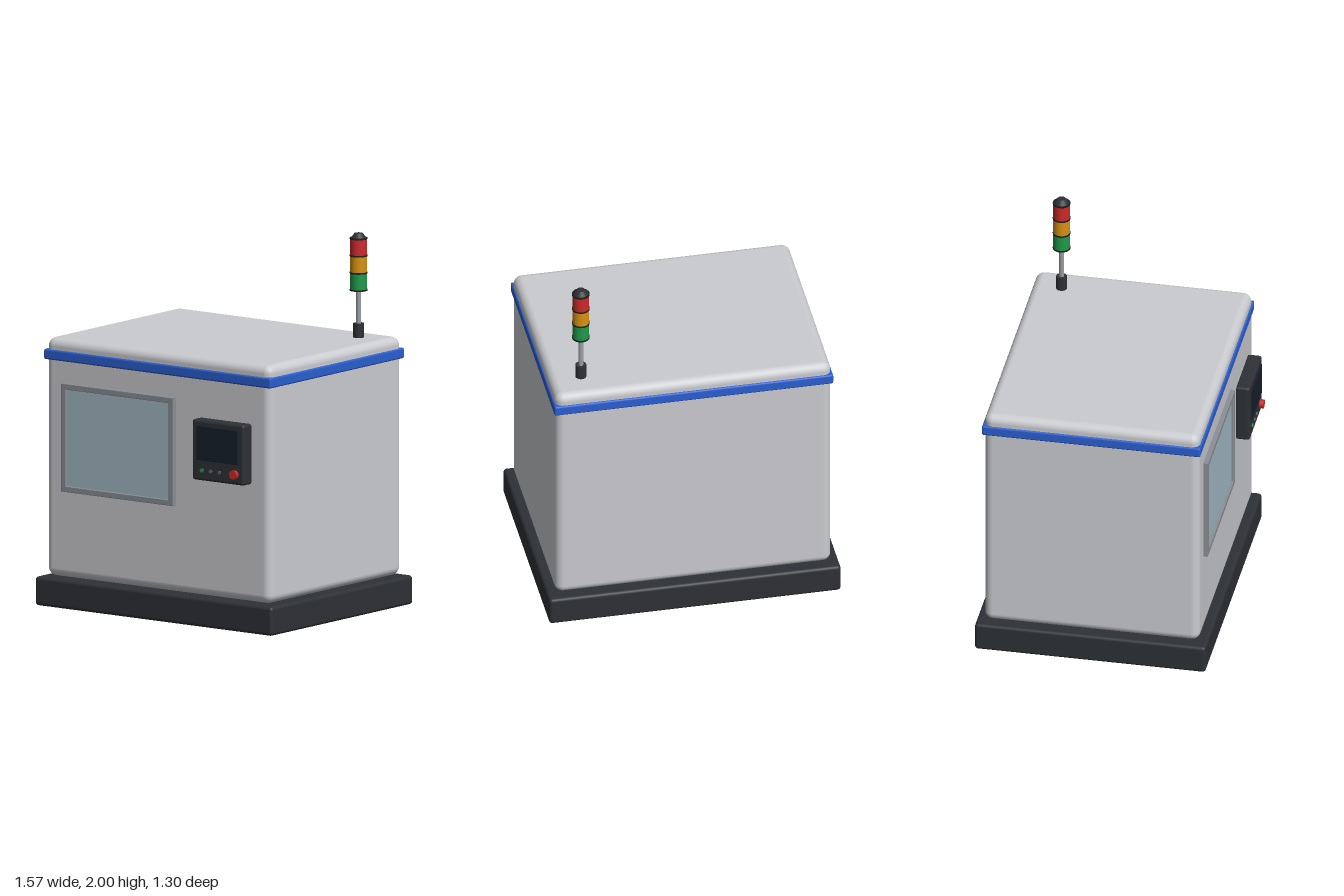
import * as THREE from 'three';
import { RoundedBoxGeometry } from 'three/addons/geometries/RoundedBoxGeometry.js';

const paint = (color) => new THREE.MeshStandardMaterial({ color });
const shell = paint(0xcbccd0), dark = paint(0x2e3135), black = paint(0x1c1e20);
const blue = paint(0x2b5fd0), steel = paint(0x8a9096), glass = paint(0xa3b9c6);
const screenMat = paint(0x16202b), red = paint(0xcc2a2a), amber = paint(0xd8920f), green = paint(0x1f9a4a);

export function createModel() {
  const model = new THREE.Group();

  const add = (parent, name, geometry, material, x, y, z) => {
    const mesh = new THREE.Mesh(geometry, material);
    mesh.name = name;
    mesh.position.set(x, y, z);
    parent.add(mesh);
    return mesh;
  };
  // rounded box given by its limits
  const block = (parent, name, material, [x0, x1], [y0, y1], [z0, z1], r) =>
    add(parent, name, new RoundedBoxGeometry(x1 - x0, y1 - y0, z1 - z0, 4, r), material,
      (x0 + x1) / 2, (y0 + y1) / 2, (z0 + z1) / 2);
  const group = (name) => {
    const g = new THREE.Group();
    g.name = name;
    model.add(g);
    return g;
  };

  // Cabinet
  block(model, 'base', dark, [-0.787, 0.787], [0, 0.155], [-0.647, 0.597], 0.018);
  block(model, 'cabinet', shell, [-0.745, 0.745], [0.16, 1.44], [-0.605, 0.555], 0.045);
  block(model, 'trimBand', blue, [-0.753, 0.753], [1.322, 1.378], [-0.615, 0.563], 0.01);

  // Viewing window: frame with an opening and a recessed pane
  const windowGroup = group('window');
  const rect = (shape, w, h) => shape.moveTo(-w / 2, -h / 2).lineTo(w / 2, -h / 2)
    .lineTo(w / 2, h / 2).lineTo(-w / 2, h / 2).closePath();
  const frame = rect(new THREE.Shape(), 0.74, 0.576);
  frame.holes.push(rect(new THREE.Path(), 0.69, 0.526));
  const frameGeo = new THREE.ExtrudeGeometry(frame, {
    depth: 0.022, bevelEnabled: true, bevelSize: 0.003, bevelThickness: 0.003, bevelSegments: 2,
  });
  add(windowGroup, 'windowFrame', frameGeo, steel, -0.252, 0.917, 0.555);
  add(windowGroup, 'windowPane', new THREE.BoxGeometry(0.7, 0.536, 0.014), glass, -0.252, 0.917, 0.56);

  // Control panel
  const panel = group('controlPanel');
  block(panel, 'panelHousing', dark, [0.282, 0.625], [0.795, 1.12], [0.55, 0.628], 0.014);
  block(panel, 'screen', screenMat, [0.316, 0.591], [0.905, 1.09], [0.62, 0.635], 0.004);
  const button = (name, r, depth, material, x) => {
    const geo = new THREE.CylinderGeometry(r, r, depth, 24).rotateX(Math.PI / 2);
    add(panel, name, geo, material, x, 0.851, 0.625 + depth / 2);
  };
  button('greenButton', 0.011, 0.01, green, 0.35);
  button('greyButtonA', 0.01, 0.01, paint(0x5a6068), 0.408);
  button('greyButtonB', 0.01, 0.01, paint(0x5a6068), 0.466);
  button('emergencyStop', 0.024, 0.025, red, 0.569);

  // Signal tower
  const tower = group('signalTower');
  tower.position.set(0.577, 0, -0.443);
  const cyl = (name, material, y0, y1, r0, r1 = r0) =>
    add(tower, name, new THREE.CylinderGeometry(r1, r0, y1 - y0, 32), material, 0, (y0 + y1) / 2, 0);
  cyl('towerFoot', dark, 1.438, 1.516, 0.029);
  cyl('towerPole', paint(0x9a9ea3), 1.51, 1.7, 0.0135);
  [['greenLamp', green], ['amberLamp', amber], ['redLamp', red]].forEach(([name, material], i) => {
    const y = 1.695 + i * 0.0925;
    cyl('lampRing', black, y - 0.004, y + 0.004, 0.047);
    cyl(name, material, y + 0.004, y + 0.0885, 0.0445);
  });
  cyl('topRing', black, 1.968, 1.976, 0.047);
  cyl('towerCap', dark, 1.976, 2.0, 0.04, 0.022);

  return model;
}
